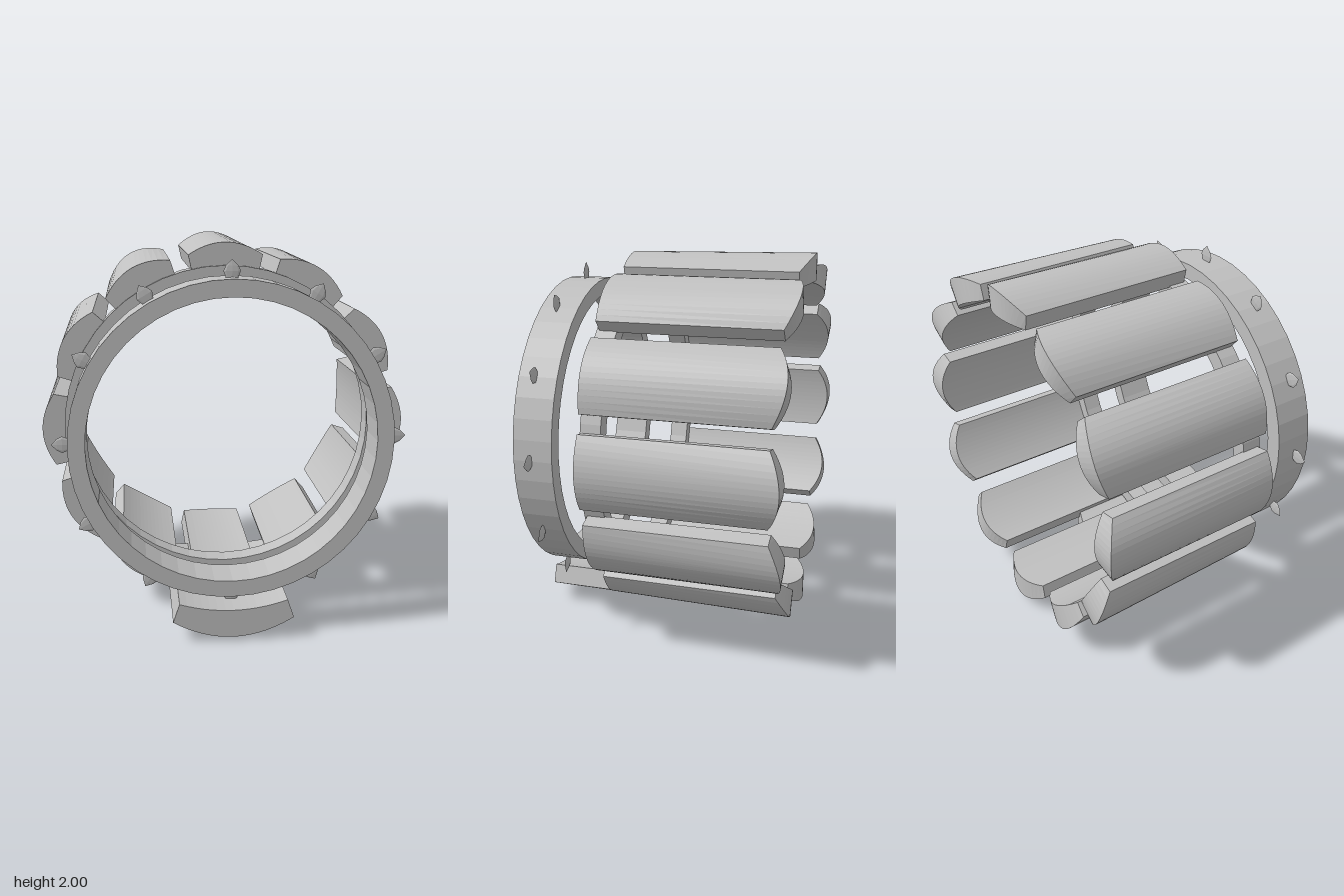
import * as THREE from 'three';

const CENTER_Y = 1.03;

// Faceted normals
function flat(geometry) {
  const g = geometry.index ? geometry.toNonIndexed() : geometry;
  g.computeVertexNormals();
  return g;
}

// Hollow band around the z axis
function ringGeometry(inner, outer, z0, z1) {
  const profile = [[outer, z0], [outer, z1], [inner, z1], [inner, z0], [outer, z0]]
    .map(([r, z]) => new THREE.Vector2(r, z));
  return flat(new THREE.LatheGeometry(profile, 48).rotateX(Math.PI / 2));
}

// Bar pointing outward along +y: concave inside, radial sides, domed outside, rounded back end
function barGeometry({ inner, halfWidth, edge, crownFront, crownBack, zFront, zBackEdge, zBackMid }) {
  const g = new THREE.BoxGeometry(2, 1, 1, 14, 1, 1);
  const p = g.attributes.position;
  const maxAngle = Math.atan2(halfWidth, edge);
  for (let i = 0; i < p.count; i++) {
    const u = p.getX(i);
    const isOuter = p.getY(i) > 0;
    const isFront = p.getZ(i) > 0;
    const dome = 1 - u * u;
    const crown = isFront ? crownFront : crownBack;
    const x = isOuter ? u * halfWidth : inner * Math.sin(u * maxAngle);
    const y = isOuter ? edge + (crown - edge) * dome : inner * Math.cos(u * maxAngle);
    const z = isFront ? zFront : zBackEdge + (zBackMid - zBackEdge) * dome;
    p.setXYZ(i, x, y, z);
  }
  return flat(g);
}

export function createModel() {
  const model = new THREE.Group();
  model.name = 'barredRing';
  const grey = new THREE.MeshStandardMaterial({ color: 0xc0c0c0 });
  grey.name = 'lightGrey';

  const assembly = new THREE.Group();
  assembly.name = 'ringAssembly';
  assembly.position.y = CENTER_Y;
  model.add(assembly);

  function add(name, geometry, angle = 0) {
    const mesh = new THREE.Mesh(geometry, grey);
    mesh.name = name;
    mesh.rotation.z = angle;
    assembly.add(mesh);
  }

  // Front and rear rings
  add('frontRing', ringGeometry(0.72, 0.805, 0.455, 0.66));
  add('rearRing', ringGeometry(0.76, 0.84, 0.19, 0.295));

  // Twelve bars, and twelve flat studs on the front ring
  const bar = barGeometry({
    inner: 0.83, halfWidth: 0.19, edge: 0.892, crownFront: 0.955, crownBack: 0.97,
    zFront: 0.28, zBackEdge: -0.635, zBackMid: -0.695,
  });
  const studProfile = [[0, 0.78], [0.025, 0.79], [0.042, 0.835], [0.03, 0.86], [0, 0.89]]
    .map(([r, y]) => new THREE.Vector2(r, y));
  const stud = flat(new THREE.LatheGeometry(studProfile, 8).scale(1, 1, 0.14).translate(0, 0, 0.565));
  for (let i = 0; i < 12; i++) {
    const angle = (i * Math.PI) / 6;
    add('bar', bar, angle);
    add('stud', stud, angle);
  }

  // Wide bar at the bottom, set forward
  add('baseBar', barGeometry({
    inner: 0.862, halfWidth: 0.31, edge: 0.915, crownFront: 1.01, crownBack: 1.03,
    zFront: 0.7, zBackEdge: -0.11, zBackMid: -0.17,
  }), Math.PI);

  return model;
}
